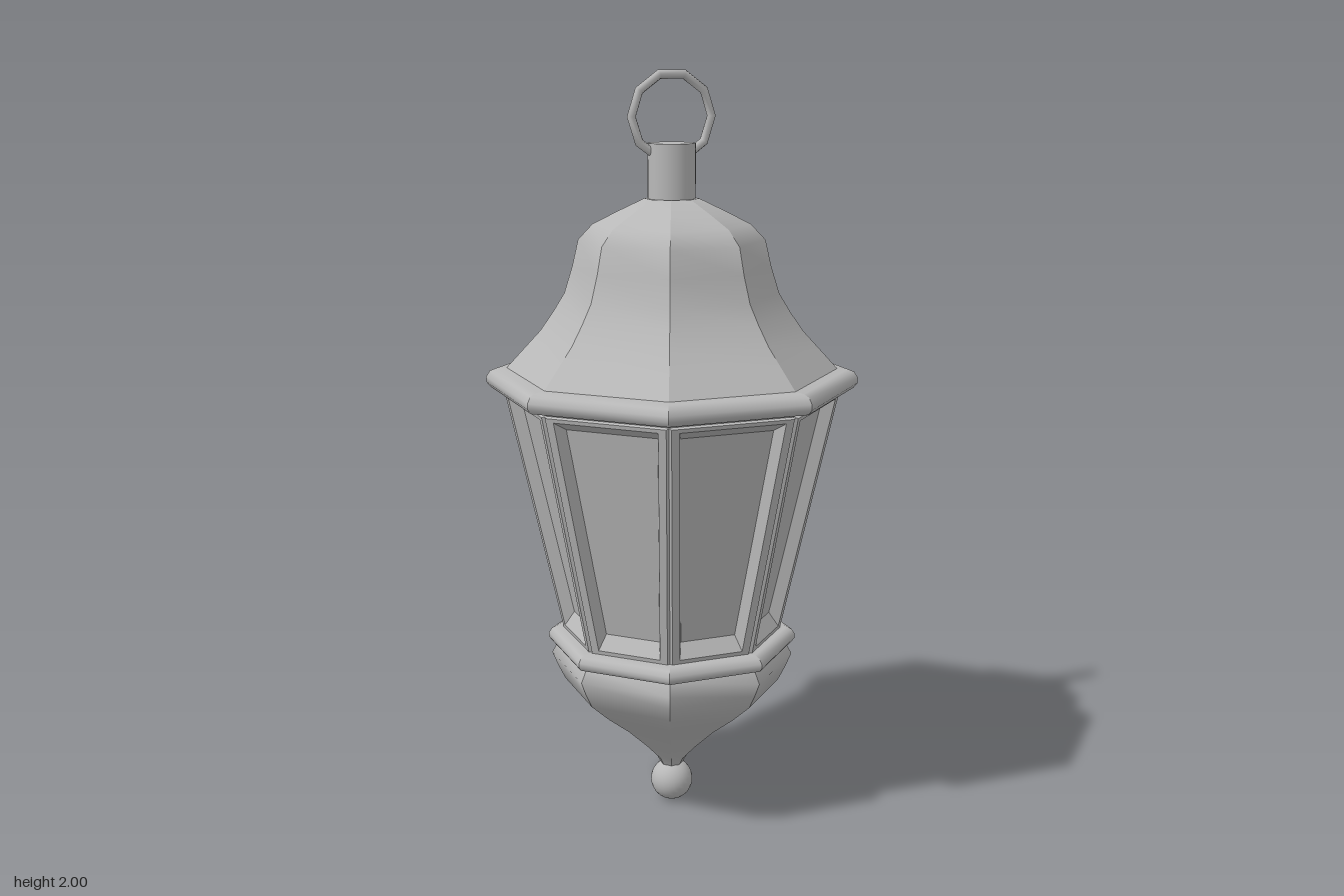
import * as THREE from 'three';
import { mergeGeometries } from 'three/addons/utils/BufferGeometryUtils.js';

const SIDES = 8;
const STEP = (Math.PI * 2) / SIDES;
const TAN = Math.tan(STEP / 2);

// Eight-sided turned shape: smooth along its profile, creased between sides.
// The profile lists [distance to flat side, height] from bottom to top.
function octagonLathe(profile) {
  const points = profile.map(([a, y]) => new THREE.Vector2(a / Math.cos(STEP / 2), y));
  const sides = [];
  for (let i = 0; i < SIDES; i++) {
    const side = new THREE.LatheGeometry(points, 1, (i - 0.5) * STEP, STEP);
    side.computeVertexNormals();
    sides.push(side);
  }
  return mergeGeometries(sides);
}

// Window panel facing +z, from nested trapezoid loops on the sloping wall.
function panelGeometry() {
  const wall = (y) => 0.277 + ((y - 0.51) * 0.133) / 0.645;
  // [side inset, bottom, top, depth]
  const loops = [
    [0, 0.5, 1.168, 0.014],
    [0.007, 0.506, 1.163, 0],
    [0.028, 0.52, 1.153, 0],
    [0.043, 0.56, 1.13, 0.032],
  ].map(([inset, bottom, top, depth]) =>
    [[-1, bottom], [1, bottom], [1, top], [-1, top]].map(([s, y]) =>
      [s * (wall(y) * TAN - inset), y, wall(y) - depth]));
  const pos = [];
  const quad = (a, b, c, d) => pos.push(...a, ...b, ...c, ...a, ...c, ...d);
  for (let k = 0; k < loops.length - 1; k++) {
    for (let j = 0; j < 4; j++) {
      const n = (j + 1) % 4;
      quad(loops[k][j], loops[k][n], loops[k + 1][n], loops[k + 1][j]);
    }
  }
  quad(...loops[loops.length - 1]);
  const g = new THREE.BufferGeometry();
  g.setAttribute('position', new THREE.Float32BufferAttribute(pos, 3));
  g.computeVertexNormals();
  return g;
}

export function createModel() {
  const group = new THREE.Group();
  const metal = new THREE.MeshStandardMaterial({ color: 0xb8b8b8 });
  metal.name = 'grey metal';

  const add = (name, geometry, y = 0) => {
    const mesh = new THREE.Mesh(geometry, metal);
    mesh.name = name;
    mesh.position.y = y;
    group.add(mesh);
    return mesh;
  };

  // Base: ball finial, tapering bowl and moulding
  add('finialBall', new THREE.SphereGeometry(0.058, 24, 16), 0.058);
  add('bowl', octagonLathe([
    [0.022, 0.095], [0.04, 0.13], [0.085, 0.18], [0.15, 0.245],
    [0.215, 0.3], [0.272, 0.355], [0.29, 0.393], [0.305, 0.432], [0.288, 0.466],
  ]));
  add('baseMoulding', octagonLathe([
    [0.27, 0.463], [0.288, 0.464], [0.306, 0.468], [0.313, 0.478],
    [0.312, 0.49], [0.304, 0.503], [0.29, 0.509], [0.22, 0.51],
  ]));

  // Framed windows around the body
  const panel = panelGeometry();
  for (let i = 0; i < SIDES; i++) {
    add('windowPanel', panel).rotation.y = i * STEP;
  }

  // Collar and rounded rim under the roof
  add('collar', octagonLathe([[0.3, 1.164], [0.402, 1.164], [0.402, 1.18]]));
  add('roofRim', octagonLathe([
    [0.3, 1.174], [0.425, 1.174], [0.445, 1.179], [0.455, 1.192],
    [0.455, 1.206], [0.446, 1.222], [0.43, 1.229], [0.38, 1.232],
  ]));

  // Bell-shaped roof
  add('roof', octagonLathe([
    [0.408, 1.226], [0.365, 1.277], [0.32, 1.33], [0.288, 1.38], [0.26, 1.43],
    [0.24, 1.5], [0.225, 1.57], [0.19, 1.61], [0.13, 1.643], [0.066, 1.676], [0, 1.678],
  ]));

  // Neck and hanging ring
  add('neck', new THREE.CylinderGeometry(0.062, 0.062, 0.15, 32), 1.742);
  add('hangingRing', new THREE.TorusGeometry(0.11, 0.012, 8, 10), 1.884);

  return group;
}
